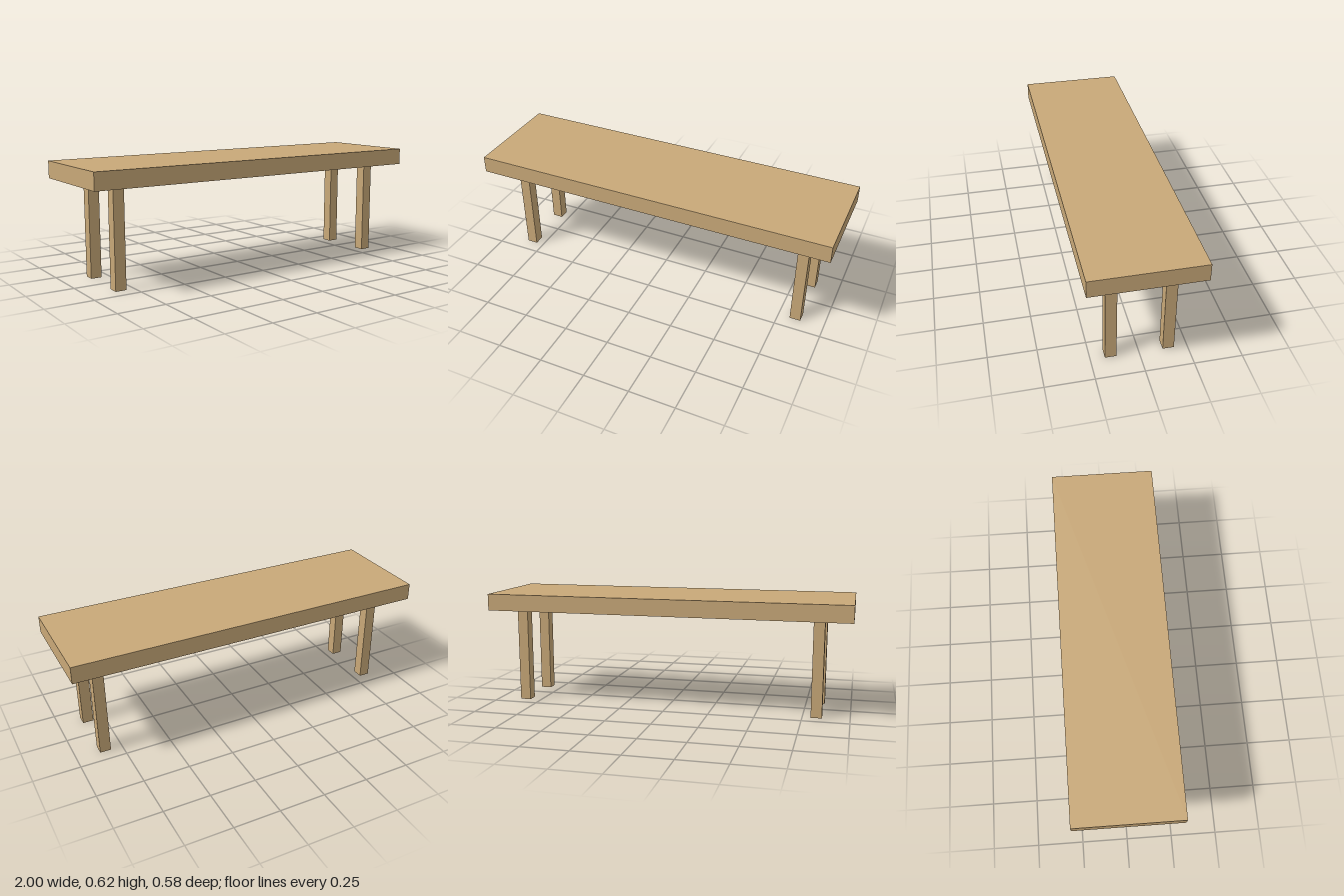
import * as THREE from 'three';

export function createModel() {
  const model = new THREE.Group();
  const wood = new THREE.MeshStandardMaterial({ color: 0xc8a878 });

  const addBox = (name, size, position) => {
    const mesh = new THREE.Mesh(new THREE.BoxGeometry(...size), wood);
    mesh.name = name;
    mesh.position.set(...position);
    model.add(mesh);
  };

  // Thick slab top
  const topBottom = 0.53, topHeight = 0.092;
  addBox('benchTop', [2, topHeight, 0.578], [0, topBottom + topHeight / 2, 0]);

  // Four square legs, ending just short of the top and set slightly off centre
  const legHeight = 0.525, legWidth = 0.059;
  for (const [side, x] of [['Right', -0.824], ['Left', 0.843]]) {
    for (const [end, z] of [['front', 0.146], ['back', -0.152]]) {
      addBox(`${end}${side}Leg`, [legWidth, legHeight, legWidth], [x, legHeight / 2, z]);
    }
  }

  return model;
}
